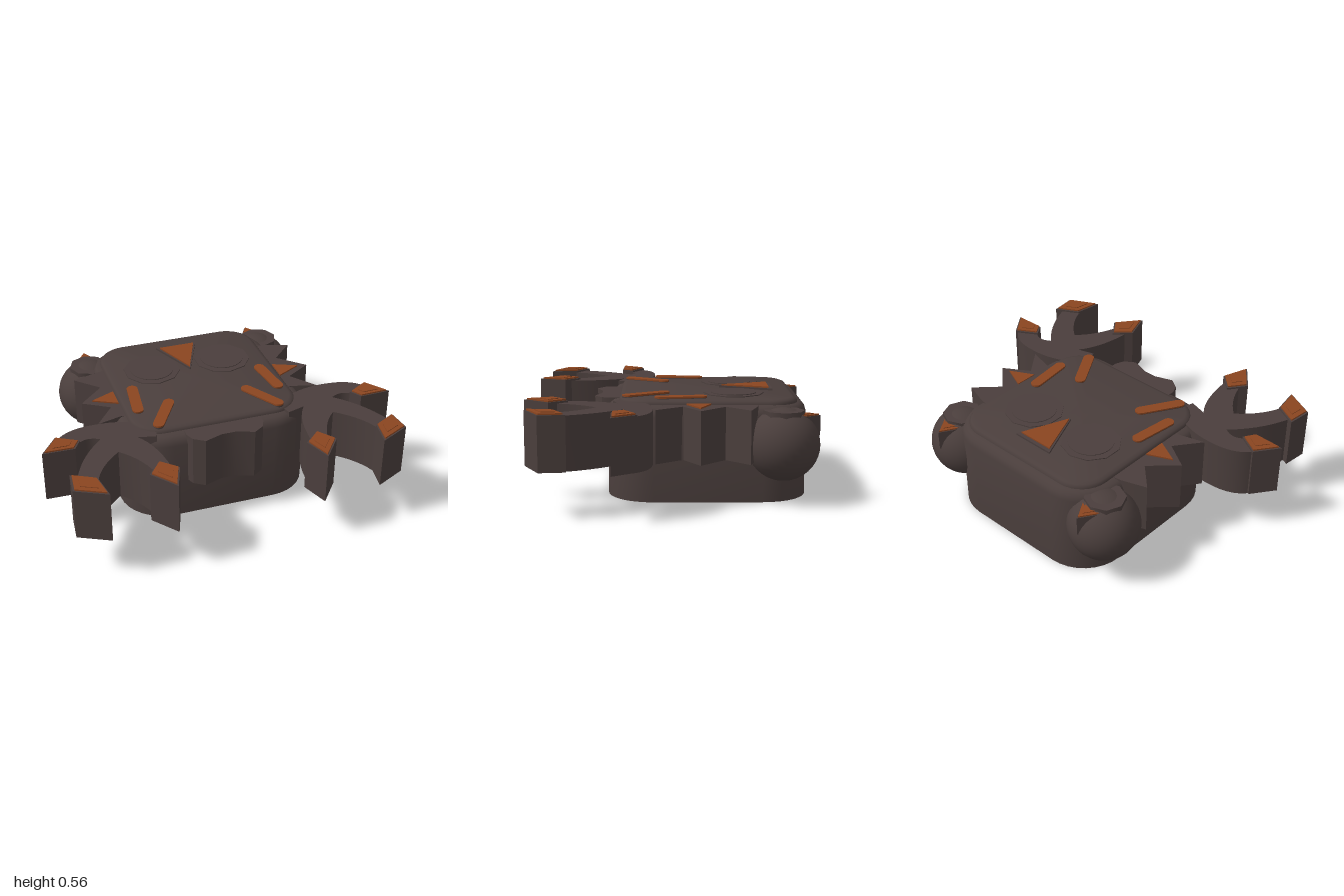
import * as THREE from 'three';
import { toCreasedNormals } from 'three/addons/utils/BufferGeometryUtils.js';

const brown = new THREE.MeshStandardMaterial({ color: 0x4a3e3c });
brown.name = 'dark brown';
const orange = new THREE.MeshStandardMaterial({ color: 0x8a4520 });
orange.name = 'burnt orange';

export function createModel() {
  const model = new THREE.Group();

  const add = (name, geometry, material = brown) => {
    const mesh = new THREE.Mesh(geometry, material);
    mesh.name = name;
    model.add(mesh);
    return mesh;
  };

  // Upright prism from a plan outline: s mirrors x, 4-number entries are curves (control, end)
  const prism = (name, outline, y0, y1, material = brown, s = 1) => {
    const shape = new THREE.Shape();
    outline.forEach((p, i) => {
      if (i === 0) shape.moveTo(s * p[0], -p[1]);
      else if (p.length === 4) shape.quadraticCurveTo(s * p[0], -p[1], s * p[2], -p[3]);
      else shape.lineTo(s * p[0], -p[1]);
    });
    const g = new THREE.ExtrudeGeometry(shape, { depth: y1 - y0, bevelEnabled: false, curveSegments: 7 });
    g.rotateX(-Math.PI / 2).translate(0, y0, 0);
    return add(name, toCreasedNormals(g, 0.4), material);
  };

  // Shrink an outline towards its middle
  const inset = (pts, k) => {
    const cx = pts.reduce((a, p) => a + p[0], 0) / pts.length;
    const cz = pts.reduce((a, p) => a + p[1], 0) / pts.length;
    return pts.map(([x, z]) => [cx + (x - cx) * k, cz + (z - cz) * k]);
  };

  // Stacked rounded rectangles, capped at both ends; layers are [inset, y]
  const roundedBlock = (hx, hz, r, cz, layers) => {
    const n = 9, count = n * 4, pos = [], index = [];
    for (const [d, y] of layers) {
      for (let c = 0; c < 4; c++) {
        const sx = c === 0 || c === 3 ? 1 : -1, sz = c < 2 ? 1 : -1;
        for (let k = 0; k < n; k++) {
          const a = (c + k / (n - 1)) * Math.PI / 2;
          pos.push(sx * (hx - r) + (r - d) * Math.cos(a), y, cz + sz * (hz - r) + (r - d) * Math.sin(a));
        }
      }
    }
    for (let l = 0; l < layers.length - 1; l++) {
      for (let i = 0; i < count; i++) {
        const a = l * count + i, b = l * count + (i + 1) % count;
        index.push(a, a + count, b, b, a + count, b + count);
      }
    }
    const bottom = pos.length / 3, top = bottom + 1, last = (layers.length - 1) * count;
    pos.push(0, layers[0][1], cz, 0, layers[layers.length - 1][1], cz);
    for (let i = 0; i < count; i++) {
      const j = (i + 1) % count;
      index.push(bottom, i, j, top, last + j, last + i);
    }
    const g = new THREE.BufferGeometry();
    g.setAttribute('position', new THREE.Float32BufferAttribute(pos, 3));
    g.setIndex(index);
    return toCreasedNormals(g, 0.9);
  };

  // Body and raised face plate
  add('body', roundedBlock(0.54, 0.54, 0.25, -0.2,
    [[0, 0], [0, 0.46], [0.01, 0.49], [0.03, 0.508], [0.06, 0.515]]));
  add('facePlate', roundedBlock(0.48, 0.485, 0.17, -0.205,
    [[0, 0.5], [0, 0.52], [0.01, 0.533], [0.03, 0.54]]));

  // Muzzle at the front
  prism('muzzle', [[-0.22, 0.2], [-0.22, 0.33], [-0.2, 0.38], [-0.14, 0.42], [-0.04, 0.385],
    [0.04, 0.385], [0.14, 0.42], [0.2, 0.38], [0.22, 0.33], [0.22, 0.2]], 0.225, 0.515);

  // Forehead triangle
  prism('foreheadBase', [[-0.125, -0.575], [0.125, -0.575], [0, -0.28]], 0.53, 0.551);
  prism('foreheadMark', [[-0.105, -0.555], [0.105, -0.555], [0, -0.295]], 0.551, 0.559, orange);

  // Sloping cheek stripe with round ends
  const stripe = (x0, z0, x1, z1, s) => {
    const w = 0.031, a = Math.atan2(z1 - z0, x1 - x0), pts = [];
    for (let i = 0; i <= 16; i++) {
      const t = a + Math.PI / 2 + (i % 17) / 16 * Math.PI;
      pts.push([x0 + w * Math.cos(t), z0 + w * Math.sin(t)]);
    }
    for (let i = 0; i <= 16; i++) {
      const t = a - Math.PI / 2 + i / 16 * Math.PI;
      pts.push([x1 + w * Math.cos(t), z1 + w * Math.sin(t)]);
    }
    prism('cheekStripe', pts, 0.543, 0.552, orange, s);
    prism('cheekStripeBase', pts, 0.53, 0.543, brown, s);
  };

  const claw = [[0.36, 0.24], [0.42, 0.16], [0.53, 0.09, 0.67, 0.092], [0.84, 0.09, 0.9, 0.19],
    [0.8, 0.25], [0.74, 0.19, 0.67, 0.24], [0.81, 0.37, 0.87, 0.56], [0.77, 0.6],
    [0.73, 0.48, 0.61, 0.385], [0.51, 0.48, 0.475, 0.63], [0.385, 0.61],
    [0.4, 0.38, 0.48, 0.28], [0.38, 0.31]];
  const tips = [
    [[0.9, 0.165], [0.78, 0.235], [0.82, 0.3], [0.995, 0.295]],
    [[0.9, 0.52], [0.77, 0.59], [0.745, 0.745], [0.915, 0.66]],
    [[0.44, 0.545], [0.35, 0.63], [0.405, 0.785], [0.515, 0.645]],
  ];
  const spikes = [[0.42, -0.48], [0.53, -0.46], [0.665, -0.415], [0.54, -0.29], [0.68, -0.155],
    [0.535, -0.065], [0.645, 0.08], [0.5, 0.04], [0.42, 0.06]];
  const spikeMark = [[0.485, -0.215], [0.62, -0.155], [0.485, -0.085]];
  const earTip = [[0.525, -0.79], [0.455, -0.67], [0.605, -0.67]];

  for (const s of [1, -1]) {
    // Claw with three painted tips
    prism('claw', claw, 0.24, 0.525, brown, s);
    for (const t of tips) {
      prism('clawTip', t, 0.245, 0.535, brown, s);
      prism('clawTipMark', inset(t, 0.88), 0.535, 0.543, orange, s);
      prism('clawTipInlay', inset(t, 0.5), 0.543, 0.547, orange, s);
    }

    // Fur spikes on the side
    prism('sideSpikes', spikes, 0.23, 0.516, brown, s);
    prism('sideSpikeMark', spikeMark, 0.516, 0.524, orange, s);

    // Eye: wide low plate with a disc on it
    add('eyeRim', new THREE.CylinderGeometry(0.165, 0.165, 0.01, 10)).position.set(s * 0.215, 0.54, -0.35);
    add('eyeDisc', new THREE.CylinderGeometry(0.125, 0.125, 0.01, 32)).position.set(s * 0.215, 0.544, -0.35);

    // Cheek stripes
    stripe(0.385, -0.165, 0.412, 0.055, s);
    stripe(0.23, 0.035, 0.345, 0.23, s);

    // Ear ball, inner ear and pointed tip
    add('ear', new THREE.SphereGeometry(0.195, 32, 20)).position.set(s * 0.53, 0.315, -0.595);
    add('innerEar', new THREE.CylinderGeometry(0.11, 0.11, 0.1, 8)).position.set(s * 0.54, 0.448, -0.595);
    prism('earTip', earTip, 0.36, 0.469, brown, s);
    prism('earTipMark', inset(earTip, 0.9), 0.469, 0.476, orange, s);
    prism('earTipInlay', inset(earTip, 0.5), 0.476, 0.48, orange, s);
  }

  return model;
}
